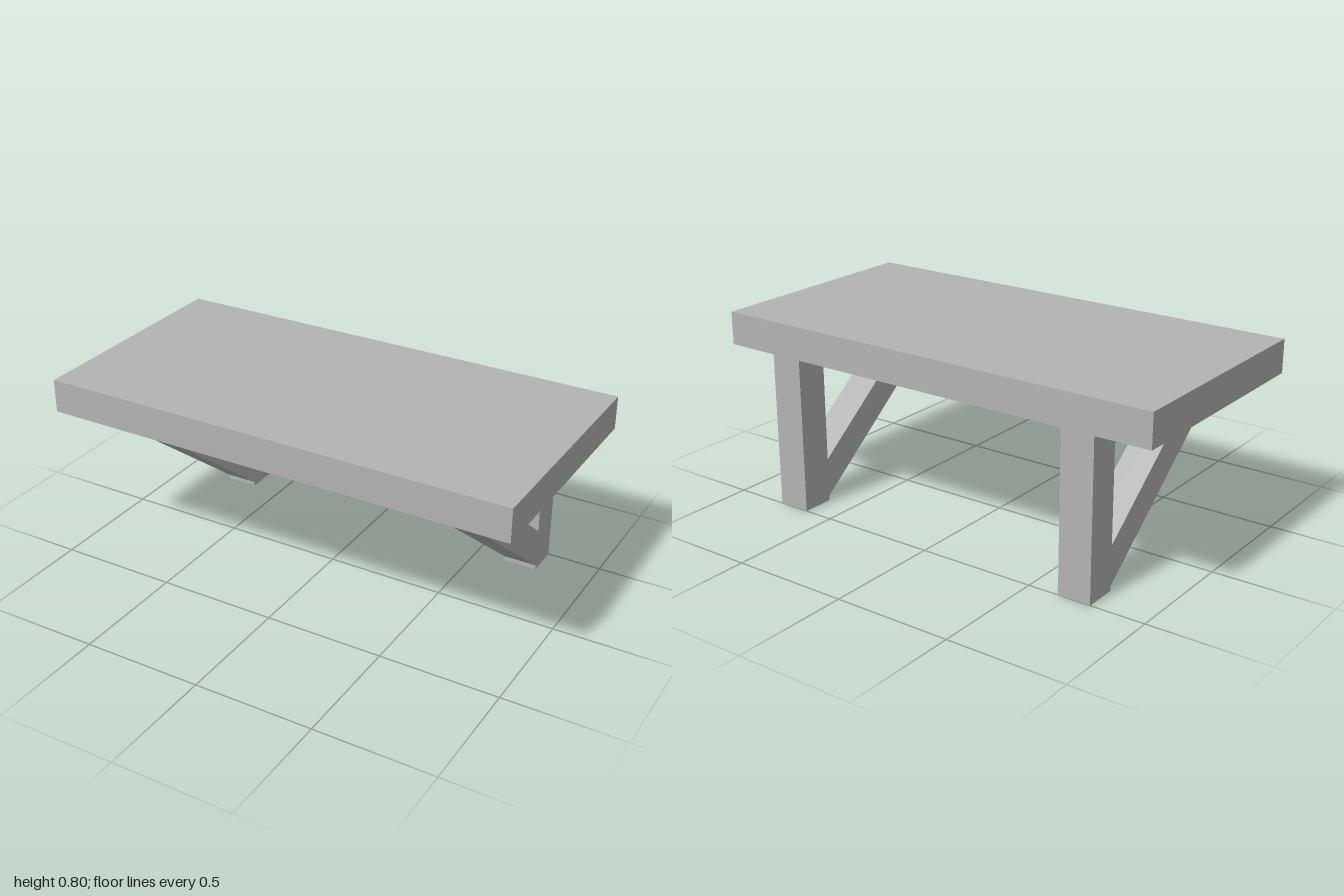
import * as THREE from 'three';

export function createModel() {
  const grey = new THREE.MeshStandardMaterial({ color: 0xb3b3b3 });
  grey.name = 'grey';
  const model = new THREE.Group();
  model.name = 'wallShelf';

  const add = (parent, name, geometry, x, y, z) => {
    const mesh = new THREE.Mesh(geometry, grey);
    mesh.name = name;
    mesh.position.set(x, y, z);
    parent.add(mesh);
  };

  // Thick slab on top
  const under = 0.66, beam = 0.14, postFront = -0.36;
  add(model, 'slab', new THREE.BoxGeometry(2, 0.14, 1), 0, 0.73, 0);

  // Brace outline as (z, y), mitred against the post and the slab
  const outline = [
    [postFront, 0.02], [0.388, 0.613], [0.338, under], [0.237, under], [postFront, 0.187],
  ].map(([z, y]) => new THREE.Vector2(z, y));
  const braceGeometry = new THREE.ExtrudeGeometry(new THREE.Shape(outline), {
    depth: beam, bevelEnabled: false,
  });
  braceGeometry.translate(0, 0, -beam / 2).rotateY(-Math.PI / 2);
  const postGeometry = new THREE.BoxGeometry(beam, under, beam);

  // A bracket on each side: rear post and diagonal brace
  for (const side of [-1, 1]) {
    const bracket = new THREE.Group();
    bracket.name = side > 0 ? 'leftBracket' : 'rightBracket';
    bracket.position.x = side * 0.7;
    add(bracket, 'post', postGeometry, 0, under / 2, postFront - beam / 2);
    add(bracket, 'brace', braceGeometry, 0, 0, 0);
    model.add(bracket);
  }
  return model;
}
